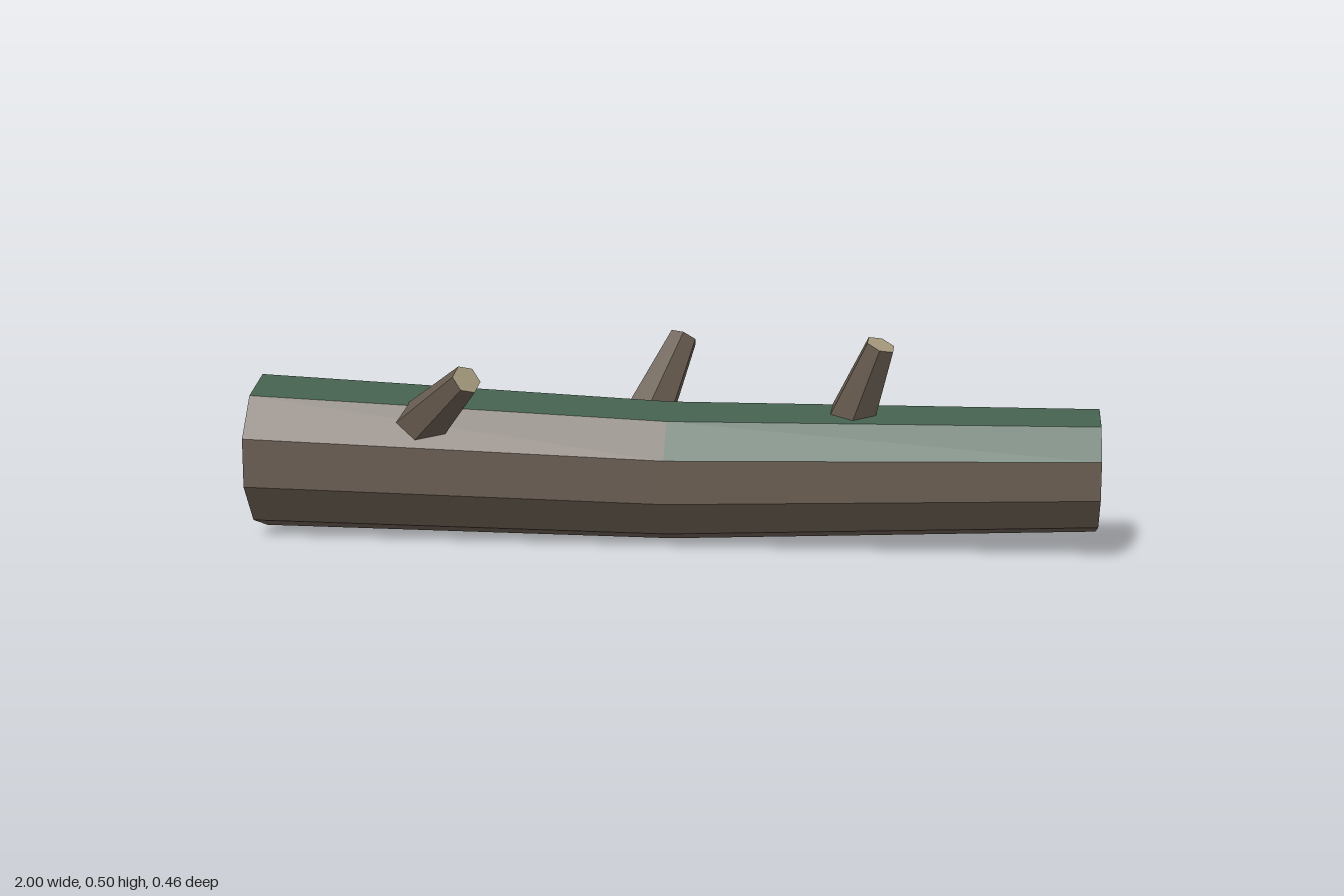
import * as THREE from 'three';

const makeMaterial = (name, color) => {
  const m = new THREE.MeshStandardMaterial({ color, flatShading: true });
  m.name = name;
  return m;
};

export function createModel() {
  const log = new THREE.Group();
  log.name = 'fallenLog';
  const bark = makeMaterial('bark', 0x675b4f);
  const moss = makeMaterial('moss', 0x445f4e);
  const cutWood = makeMaterial('cutWood', 0xa3987c);

  // Trunk rings: position along the log, centre and radius
  const SIDES = 10;
  const rings = [
    { x: -1, y: 0.195, z: -0.038, r: 0.187 },
    { x: 0, y: 0.169, z: -0.03, r: 0.166 },
    { x: 1, y: 0.193, z: -0.02, r: 0.145 },
  ];
  // Point on a ring; side 0 starts at the top and counts towards the front
  const point = ({ x, y, z, r }, i) => {
    const a = (i / SIDES) * Math.PI * 2;
    return new THREE.Vector3(x, y + r * Math.cos(a), z + r * Math.sin(a));
  };
  const addMesh = (name, points, material) => {
    const geometry = new THREE.BufferGeometry().setFromPoints(points);
    geometry.computeVertexNormals();
    const mesh = new THREE.Mesh(geometry, material);
    mesh.name = name;
    log.add(mesh);
  };

  // Trunk sides, with moss on some of the upper faces of each half
  const mossySides = [[0, 9], [0, 1, 8]];
  const barkPoints = [], mossPoints = [];
  mossySides.forEach((mossy, s) => {
    for (let i = 0; i < SIDES; i++) {
      const a = point(rings[s], i), b = point(rings[s], i + 1);
      const c = point(rings[s + 1], i + 1), d = point(rings[s + 1], i);
      (mossy.includes(i) ? mossPoints : barkPoints).push(a, b, c, a, c, d);
    }
  });
  addMesh('trunkBark', barkPoints, bark);
  addMesh('trunkMoss', mossPoints, moss);

  // Sawn ends
  [[rings[0], 'sawnEndRight', 1, 0], [rings[2], 'sawnEndLeft', 0, 1]].forEach(([ring, name, p, q]) => {
    const centre = new THREE.Vector3(ring.x, ring.y, ring.z);
    const points = [];
    for (let i = 0; i < SIDES; i++) points.push(centre, point(ring, i + p), point(ring, i + q));
    addMesh(name, points, cutWood);
  });

  // Broken branch stubs: from just inside the trunk to the cut tip
  const stubs = [
    { base: [-0.56, 0.305, 0.088], tip: [-0.445, 0.414, 0.2] },
    { base: [-0.055, 0.308, -0.108], tip: [0.01, 0.468, -0.197] },
    { base: [0.435, 0.325, -0.005], tip: [0.495, 0.489, 0.045] },
  ];
  stubs.forEach(({ base, tip }, i) => {
    const end = new THREE.Vector3(...tip);
    const axis = end.clone().sub(new THREE.Vector3(...base));
    const length = axis.length() + 0.05;
    axis.normalize();
    const stub = new THREE.Mesh(
      new THREE.CylinderGeometry(0.036, 0.064, length, 6),
      [bark, cutWood, cutWood]
    );
    stub.name = `branchStub${i + 1}`;
    stub.quaternion.setFromUnitVectors(new THREE.Vector3(0, 1, 0), axis);
    stub.position.copy(end).addScaledVector(axis, -length / 2);
    log.add(stub);
  });

  return log;
}
